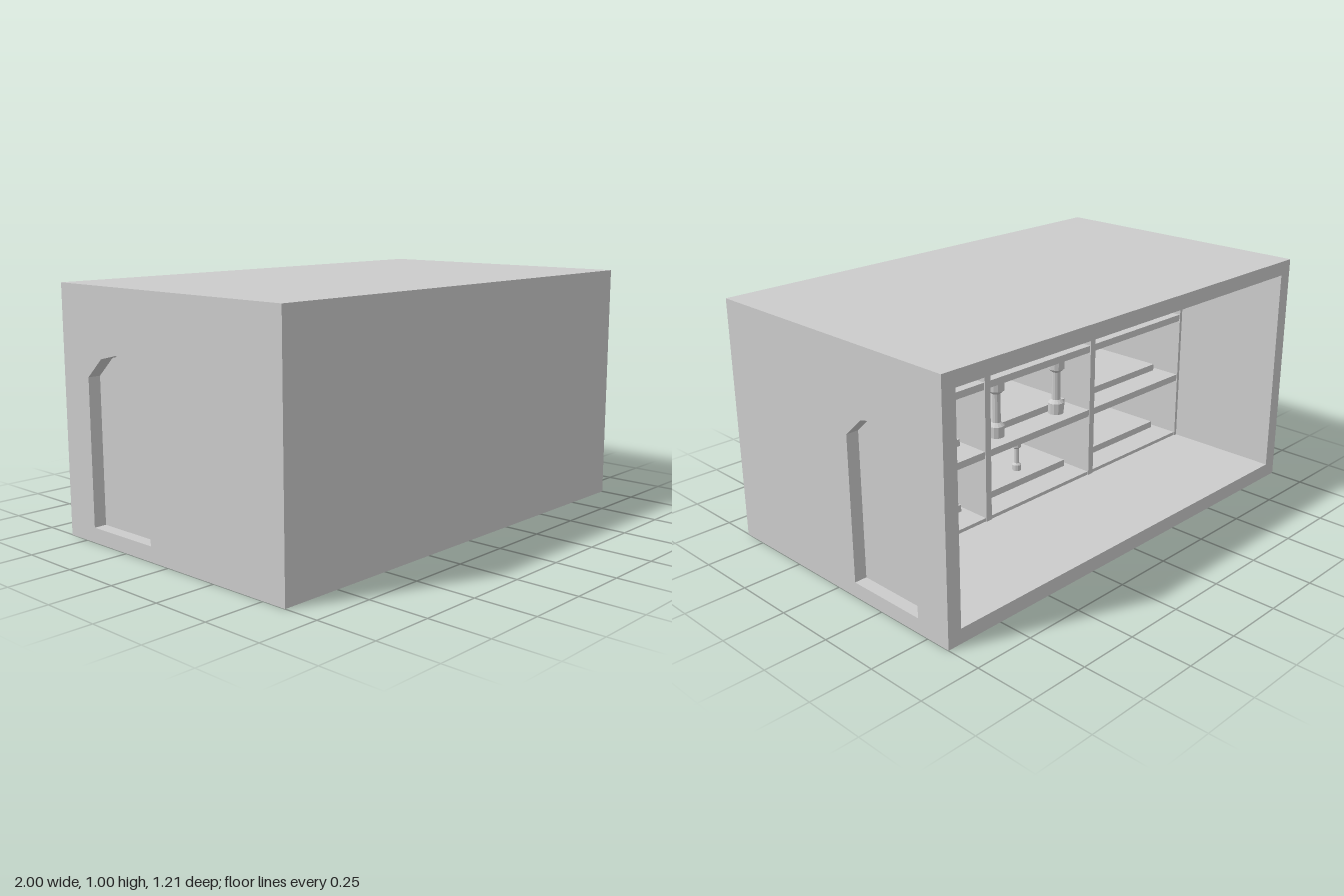
import * as THREE from 'three';

const grey = new THREE.MeshStandardMaterial({ color: 0xcccccc });
grey.name = 'plain grey';

const T = 0.06;            // shell thickness
const W = 1, D = 0.605;    // half width, half depth
const SHELF_Z = -0.1;      // open face of the compartments
const INNER = W - T;
const COL = (2 * INNER) / 3, ROW = (1 - 2 * T) / 3;

function add(parent, name, geometry, x = 0, y = 0, z = 0) {
  const mesh = new THREE.Mesh(geometry, grey);
  mesh.name = name;
  mesh.position.set(x, y, z);
  parent.add(mesh);
  return mesh;
}

// Box given by its lower and upper corners
function block(parent, name, x0, x1, y0, y1, z0, z1) {
  return add(parent, name, new THREE.BoxGeometry(x1 - x0, y1 - y0, z1 - z0),
    (x0 + x1) / 2, (y0 + y1) / 2, (z0 + z1) / 2);
}

// Outline drawn in (z, y)
const outline = (pts) => pts.map(([z, y]) => new THREE.Vector2(z, y));
const arch = outline([[-0.1, T], [-0.1, 0.65], [-0.185, 0.727], [-0.275, 0.748],
  [-0.365, 0.727], [-0.45, 0.65], [-0.45, T]]);

// Extrude a (z, y) shape along x
function sideways(shape, depth) {
  return new THREE.ExtrudeGeometry(shape, { depth, bevelEnabled: false })
    .rotateY(-Math.PI / 2).translate(depth / 2, 0, 0);
}

// Turned stand with a wide foot and head
function stand(parent, x, y, z, height, r) {
  const profile = [[0, 0], [r, 0], [r, 0.2], [r * 0.55, 0.26], [r * 0.55, 0.78],
    [r, 0.84], [r, 1], [0, 1]].map(([a, b]) => new THREE.Vector2(a, b * height));
  const geometry = new THREE.LatheGeometry(profile, 12).toNonIndexed();
  geometry.computeVertexNormals();
  add(parent, 'stand', geometry, x, y, z);
}

export function createModel() {
  const model = new THREE.Group();
  model.name = 'room';

  // Shell, open at the back
  block(model, 'floor', -W, W, 0, T, -D, D);
  block(model, 'ceiling', -W, W, 1 - T, 1, -D, D);
  block(model, 'frontWall', -W, W, T, 1 - T, D - T, D);

  // Side walls with a blind arched doorway
  for (const side of [-1, 1]) {
    const name = side > 0 ? 'left' : 'right';
    const wall = new THREE.Shape(outline([[-D, T], [D - T, T], [D - T, 1 - T], [-D, 1 - T]]));
    wall.holes.push(new THREE.Path(arch.map((p) => new THREE.Vector2(p.x, Math.max(p.y, T + 0.0005)))));
    add(model, name + 'Wall', sideways(wall, T), side * (W - T / 2));
    add(model, name + 'Door', sideways(new THREE.Shape(arch), 0.008), side * (INNER + 0.004));

    // Shallow panels under the ceiling
    const cx = side * 0.415;
    block(model, name + 'CeilingPanel', cx - 0.33, cx + 0.33, 0.9, 1 - T, -0.46, -0.07);
  }

  // Grid of compartments, three by three
  const shelving = new THREE.Group();
  shelving.name = 'compartments';
  model.add(shelving);
  const half = 0.015, back = D - T;
  for (let i = 0; i <= 3; i++) {
    const x = -INNER + i * COL, y = T + i * ROW;
    block(shelving, 'divider', Math.max(x - half, -INNER), Math.min(x + half, INNER),
      T, 1 - T, SHELF_Z, back);
    block(shelving, 'shelf', -INNER, INNER, Math.max(y - half, T), Math.min(y + half, 1 - T),
      SHELF_Z + 0.004, back);
  }

  // Low platform in each compartment
  for (let c = 0; c < 3; c++) {
    for (let r = 0; r < 3; r++) {
      const x = (c - 1) * COL, y = T + r * ROW + half;
      block(shelving, 'platform', x - 0.27, x + 0.27, y, y + 0.03, 0.02, 0.5);
    }
  }

  // Upright screens
  const rowFloor = (r) => T + r * ROW + half;
  block(shelving, 'screen', 0.41, 0.64, rowFloor(1) + 0.03, rowFloor(1) + 0.22, 0.03, 0.05);
  block(shelving, 'screen', 0.11, 0.37 - 0.09, rowFloor(2) + 0.06, rowFloor(2) + 0.24, 0.03, 0.05);

  // Stands in the middle column
  for (const x of [-0.18, 0.18]) stand(shelving, x, rowFloor(1), -0.01, 0.24, 0.035);
  for (const x of [0, 0.17]) stand(shelving, x, rowFloor(2), -0.01, 0.08, 0.03);
  stand(shelving, -0.05, rowFloor(0) + 0.03, 0.1, 0.13, 0.02);

  return model;
}
